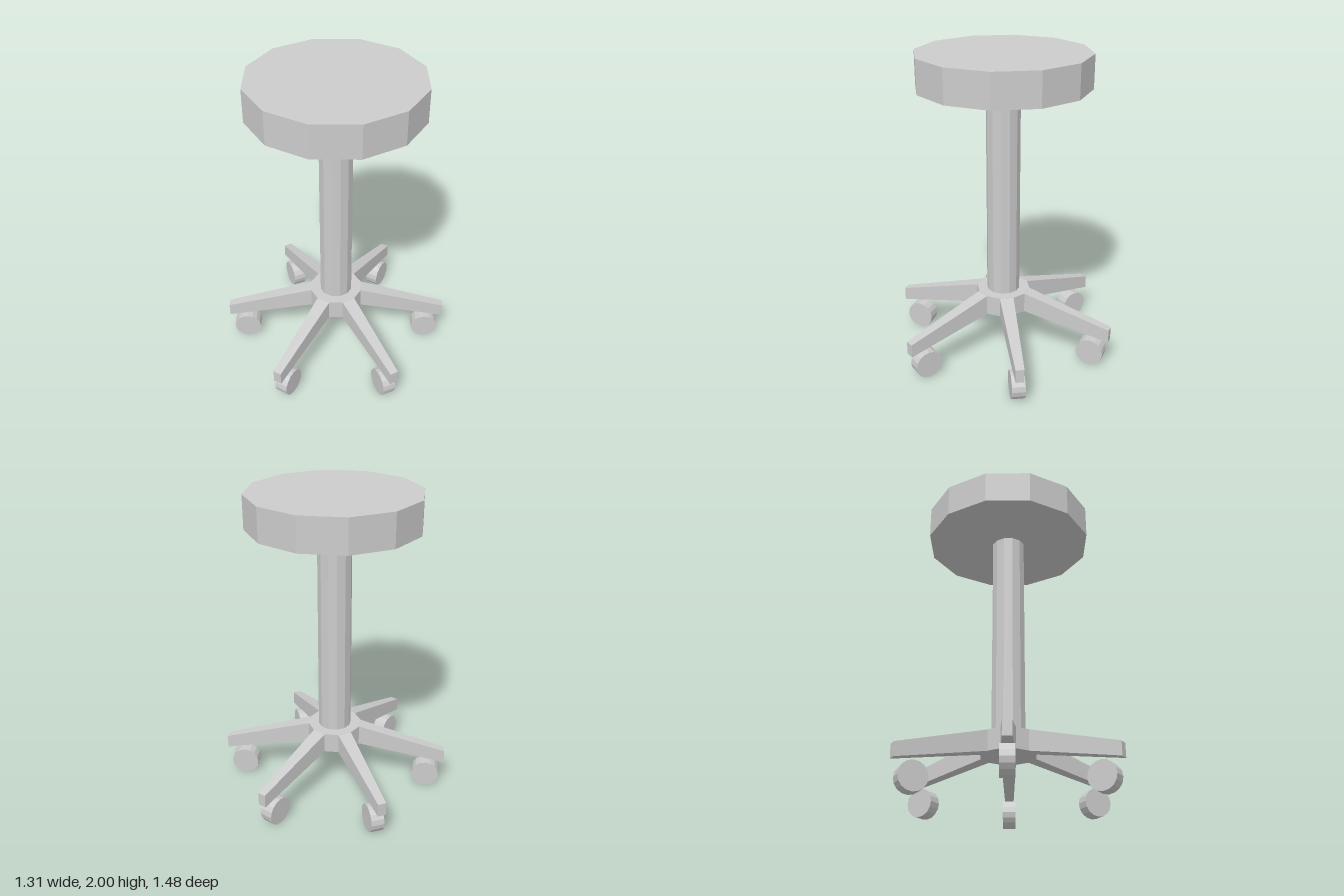
import * as THREE from 'three';

const material = new THREE.MeshStandardMaterial({ color: 0xcccccc, flatShading: true });

function part(name, geometry, parent) {
  const mesh = new THREE.Mesh(geometry, material);
  mesh.name = name;
  parent.add(mesh);
  return mesh;
}

// Twelve-sided prism between two heights, with a flat side facing the front
function prism(radius, bottom, top) {
  return new THREE.CylinderGeometry(radius, radius, top - bottom, 12)
    .rotateY(Math.PI / 12)
    .translate(0, (bottom + top) / 2, 0);
}

// Leg running along +z: a box tapered from the hub section to the tip section
function legGeometry() {
  const root = { z: 0.165, half: 0.045, bottom: 0.3, top: 0.432 };
  const tip = { z: 0.74, half: 0.027, bottom: 0.185, top: 0.272 };
  const geometry = new THREE.BoxGeometry(1, 1, 1);
  const p = geometry.attributes.position;
  for (let i = 0; i < p.count; i++) {
    const s = p.getZ(i) > 0 ? tip : root;
    p.setXYZ(i, Math.sign(p.getX(i)) * s.half, p.getY(i) > 0 ? s.top : s.bottom, s.z);
  }
  geometry.computeVertexNormals();
  return geometry;
}

export function createModel() {
  const stool = new THREE.Group();
  stool.name = 'stool';

  part('seat', prism(0.54, 1.79, 2), stool);
  part('column', prism(0.107, 0.4, 1.8), stool);
  part('hub', prism(0.174, 0.3, 0.432), stool);

  // Six legs with a caster wheel under each
  const leg = legGeometry();
  const wheel = new THREE.CylinderGeometry(0.09, 0.09, 0.084, 16).rotateZ(Math.PI / 2);
  for (let i = 0; i < 6; i++) {
    const arm = new THREE.Group();
    arm.name = 'legWithCaster';
    arm.rotation.y = (i * Math.PI) / 3;
    part('leg', leg, arm);
    const caster = part('casterWheel', wheel, arm);
    caster.position.set(0, 0.09, 0.62);
    // The front and back casters are swivelled slightly
    if (i % 3 === 0) caster.rotation.y = -0.085;
    stool.add(arm);
  }
  return stool;
}
